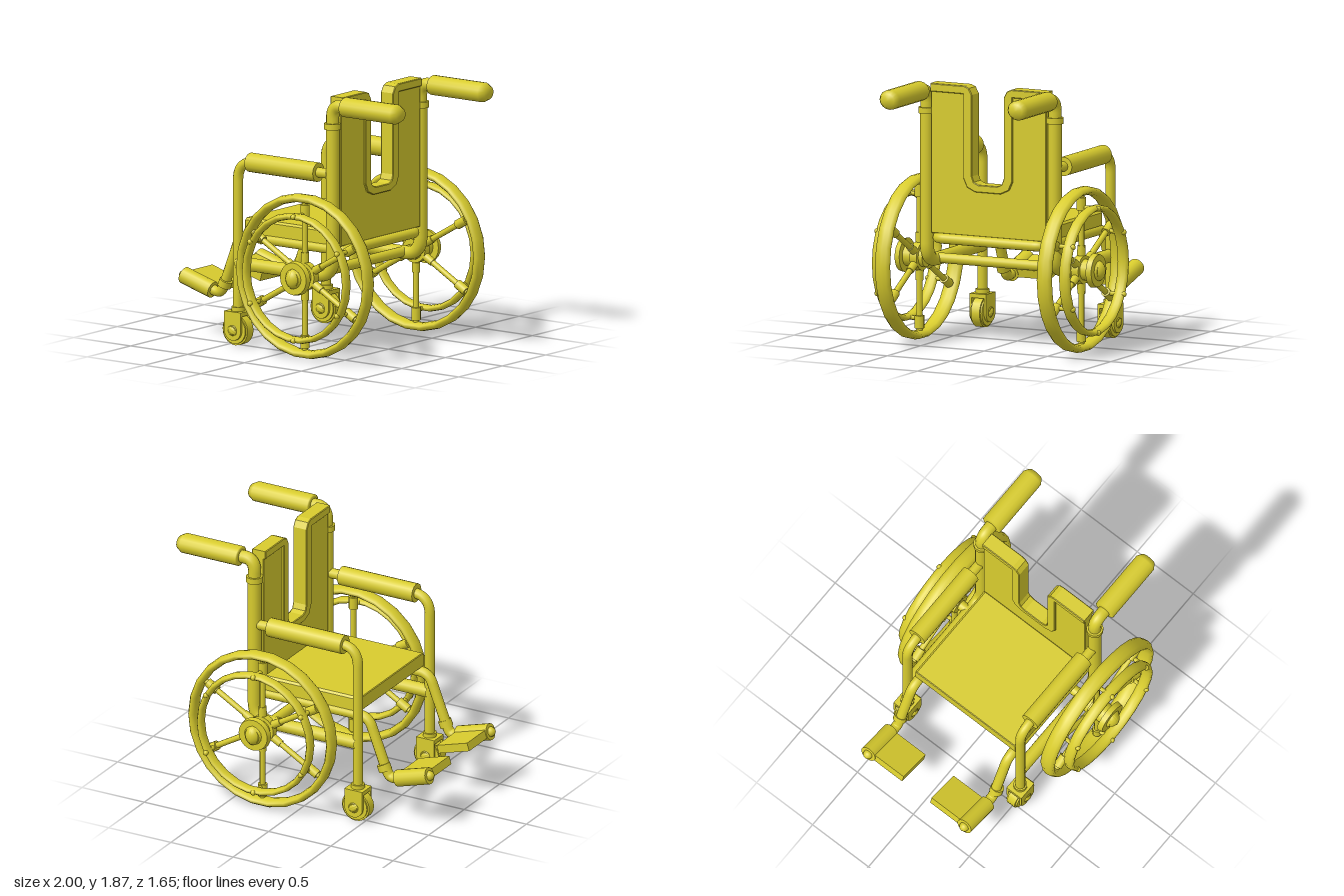
import * as THREE from 'three';

const material = new THREE.MeshStandardMaterial({ color: 0xd8cc2e, side: THREE.DoubleSide });
const V = (x, y, z) => new THREE.Vector3(x, y, z);

function add(parent, name, geometry, x = 0, y = 0, z = 0) {
  const mesh = new THREE.Mesh(geometry, material);
  mesh.name = name;
  mesh.position.set(x, y, z);
  parent.add(mesh);
  return mesh;
}

// Cylinder running from a to b
function rod(parent, name, a, b, r, rEnd = r, sides = 16) {
  const dir = b.clone().sub(a);
  const mesh = add(parent, name, new THREE.CylinderGeometry(rEnd, r, dir.length(), sides));
  mesh.position.copy(a).add(b).multiplyScalar(0.5);
  mesh.quaternion.setFromUnitVectors(V(0, 1, 0), dir.normalize());
  return mesh;
}

// Pipe along a polyline whose corners are rounded by the distance bend
function pipe(parent, name, points, r, bend) {
  const path = new THREE.CurvePath();
  let last = points[0];
  for (let i = 1; i < points.length - 1; i++) {
    const p = points[i];
    const toward = (q) => p.clone().add(
      q.clone().sub(p).setLength(Math.min(bend, q.distanceTo(p) * 0.48)));
    const start = toward(points[i - 1]), end = toward(points[i + 1]);
    path.add(new THREE.LineCurve3(last, start));
    path.add(new THREE.QuadraticBezierCurve3(start, p, end));
    last = end;
  }
  path.add(new THREE.LineCurve3(last, points[points.length - 1]));
  return add(parent, name, new THREE.TubeGeometry(path, 40 * points.length, r, 12), 0, 0, 0);
}

// Domed bolt head made of two halves with a slot between them
function slottedCap(parent, name, x, y, z, s, r, depth, tilt) {
  const cap = new THREE.Group();
  cap.name = name;
  for (const side of [-1, 1]) {
    const half = new THREE.SphereGeometry(r, 10, 6, side < 0 ? -Math.PI / 2 : Math.PI / 2, Math.PI, 0, Math.PI / 2);
    const mesh = add(cap, name + 'Half', half, -side * 0.008, 0, 0);
    mesh.scale.set(0.92, depth / r, 1);
  }
  add(cap, name + 'Core', new THREE.CylinderGeometry(r * 0.8, r, depth * 0.4, 16), 0, depth * 0.2, 0);
  cap.position.set(x, y, z);
  cap.rotation.set(s * Math.PI / 2, 0, tilt, 'ZXY');
  parent.add(cap);
}

// Shape drawn in the z-y plane, extruded along x and centred at x
function slab(parent, name, points, thickness, x) {
  const shape = new THREE.Shape(points.map(([a, b]) => new THREE.Vector2(a, b)));
  const geometry = new THREE.ExtrudeGeometry(shape, {
    depth: thickness - 0.01, bevelThickness: 0.005, bevelSize: 0.005, bevelOffset: -0.005, bevelSegments: 1,
  });
  geometry.translate(0, 0, -(thickness - 0.01) / 2);
  geometry.rotateY(Math.PI / 2);
  return add(parent, name, geometry, x, 0, 0);
}

function buildWheel(s) {
  const wheel = new THREE.Group();
  wheel.name = s > 0 ? 'frontSideWheel' : 'backSideWheel';
  wheel.position.set(0.255, 0.598, 0);
  add(wheel, 'tyre', new THREE.TorusGeometry(0.555, 0.03, 10, 26), 0, 0, s * 0.638).scale.z = 1.93;
  add(wheel, 'handRim', new THREE.TorusGeometry(0.44, 0.023, 10, 26), 0, 0, s * 0.738).scale.z = 1.85;
  for (let i = 0; i < 6; i++) {
    const a = Math.PI / 2 + i * Math.PI / 3;
    const at = (r, z) => V(r * Math.cos(a), r * Math.sin(a), s * z);
    rod(wheel, 'spoke', at(0.08, 0.638), at(0.55, 0.638), 0.021, 0.021, 10);
    rod(wheel, 'spokeRoot', at(0.1, 0.638), at(0.17, 0.638), 0.03, 0.028, 10);
    rod(wheel, 'spokeSleeve', at(0.42, 0.638), at(0.51, 0.638), 0.034, 0.034, 10);
    rod(wheel, 'rimPeg', at(0.44, 0.638), at(0.44, 0.77), 0.016, 0.016, 8);
    const knob = add(wheel, 'rimPegKnob', new THREE.SphereGeometry(0.02, 10, 8));
    knob.position.copy(at(0.44, 0.772));
  }
  rod(wheel, 'hub', V(0, 0, s * 0.58), V(0, 0, s * 0.745), 0.075);
  rod(wheel, 'hubFlange', V(0, 0, s * 0.61), V(0, 0, s * 0.665), 0.1, 0.1, 20);
  rod(wheel, 'hubDisc', V(0, 0, s * 0.735), V(0, 0, s * 0.775), 0.122, 0.115, 20);
  slottedCap(wheel, 'hubCap', 0, 0, s * 0.77, s, 0.072, 0.055, 0);
  return wheel;
}

function buildCaster(s) {
  const caster = new THREE.Group();
  caster.name = 'caster';
  caster.position.set(-0.435, 0.118, s * 0.505);
  rod(caster, 'casterWheel', V(0, 0, -0.034), V(0, 0, 0.034), 0.11, 0.11, 20);
  rod(caster, 'casterTread', V(0, 0, -0.046), V(0, 0, 0.046), 0.098, 0.098, 20);
  rod(caster, 'forkCollar', V(0, 0.12, 0), V(0, 0.162, 0), 0.048);
  add(caster, 'forkCrown', new THREE.BoxGeometry(0.145, 0.03, 0.13), 0, 0.118, 0);
  // Fork plates with a rounded lower end
  const plate = new THREE.Shape();
  plate.moveTo(0.072, 0.133);
  plate.lineTo(-0.072, 0.133);
  plate.lineTo(-0.072, 0);
  plate.absarc(0, 0, 0.072, Math.PI, Math.PI * 2, false);
  plate.closePath();
  for (const t of [-1, 1]) {
    const geometry = new THREE.ExtrudeGeometry(plate, { depth: 0.016, bevelEnabled: false, curveSegments: 12 });
    add(caster, 'forkPlate', geometry, 0, 0, t * 0.058 - 0.008);
    slottedCap(caster, 'casterBolt', 0, 0, t * 0.064, t, 0.04, 0.018, Math.PI / 3);
  }
  return caster;
}

function buildSide(s) {
  const side = new THREE.Group();
  side.name = s > 0 ? 'frontSide' : 'backSide';
  const z = s * 0.505;
  const p = (x, y) => V(x, y, z);

  // Back post bending into the lower rail
  pipe(side, 'backPost', [p(-0.43, 0.59), p(0.396, 0.59), p(0.396, 1.66)], 0.048, 0.13);
  rod(side, 'postCollar', p(0.396, 1.64), p(0.396, 1.683), 0.06);

  // Push handle and grip
  pipe(side, 'pushHandle', [p(0.396, 1.62), p(0.396, 1.81), p(0.56, 1.81)], 0.046, 0.13);
  const profile = [[0, 0], [0.06, 0], [0.07, 0.008], [0.07, 0.455], [0.048, 0.495], [0, 0.497]];
  const grip = add(side, 'grip', new THREE.LatheGeometry(
    profile.map(([r, y]) => new THREE.Vector2(r, y)), 16), 0.5, 1.81, z);
  grip.rotation.z = -Math.PI / 2;
  grip.scale.z = 1.14;

  // Front post, arm rail and pad
  pipe(side, 'armFrame', [p(-0.435, 0.25), p(-0.435, 1.318), p(0.36, 1.318)], 0.036, 0.14);
  rod(side, 'armPad', p(-0.328, 1.318), p(0.272, 1.318), 0.068, 0.068, 18);

  // Footrest: sloped sleeve, end knob and plate
  const f = (x, y) => V(x, y, s * 0.43);
  rod(side, 'legCollar', f(-0.595, 0.437), f(-0.615, 0.39), 0.048);
  rod(side, 'footSleeve', f(-0.712, 0.353), f(-0.967, 0.428), 0.06);
  add(side, 'footKnob', new THREE.SphereGeometry(0.036, 12, 8), -0.967, 0.428, s * 0.43);
  const plate = add(side, 'footPlate', new THREE.BoxGeometry(0.255, 0.06, 0.3), -0.838, 0.392, s * 0.275);
  plate.rotation.z = -0.285;

  side.add(buildWheel(s), buildCaster(s));
  return side;
}

export function createModel() {
  const model = new THREE.Group();
  model.name = 'wheelchair';
  for (const s of [1, -1]) model.add(buildSide(s));

  rod(model, 'axle', V(0.255, 0.598, -0.6), V(0.255, 0.598, 0.6), 0.037);

  // Seat frame: one pipe from foot to foot, passing behind the seat
  const half = [[-0.76, 0.367], [-0.65, 0.335], [-0.612, 0.41], [-0.475, 0.767], [0.432, 0.767]];
  const place = (s) => half.map(([x, y]) => V(x, y, s * 0.425));
  pipe(model, 'seatFrame', [...place(1), ...place(-1).reverse()], 0.037, 0.075);

  // Seat cushion
  const seat = [[-0.45, 0.8], [0.45, 0.8], [0.45, 0.89], [0.435, 0.905], [-0.435, 0.905], [-0.45, 0.89]];
  slab(model, 'seat', seat, 0.77, -0.033);

  // Backrest panel with a U-shaped opening and a raised border
  const mirror = (pts) => pts.map(([a, b]) => [-a, b]).reverse();
  const outer = [[0.455, 1.86], [0.185, 1.86], [0.15, 1.845], [0.125, 1.8], [0.125, 1.225], [0.11, 1.185], [0.075, 1.168]];
  const inner = [[0.455, 1.802], [0.194, 1.802], [0.194, 1.21], [0.165, 1.145], [0.1, 1.115]];
  slab(model, 'backrest', [[-0.455, 0.8], [0.455, 0.8], ...outer, ...mirror(outer)], 0.08, 0.392);
  slab(model, 'backrestBorder', [...outer, ...mirror(outer), ...inner.map(([a, b]) => [-a, b]), ...inner.slice().reverse()], 0.11, 0.392);
  return model;
}
